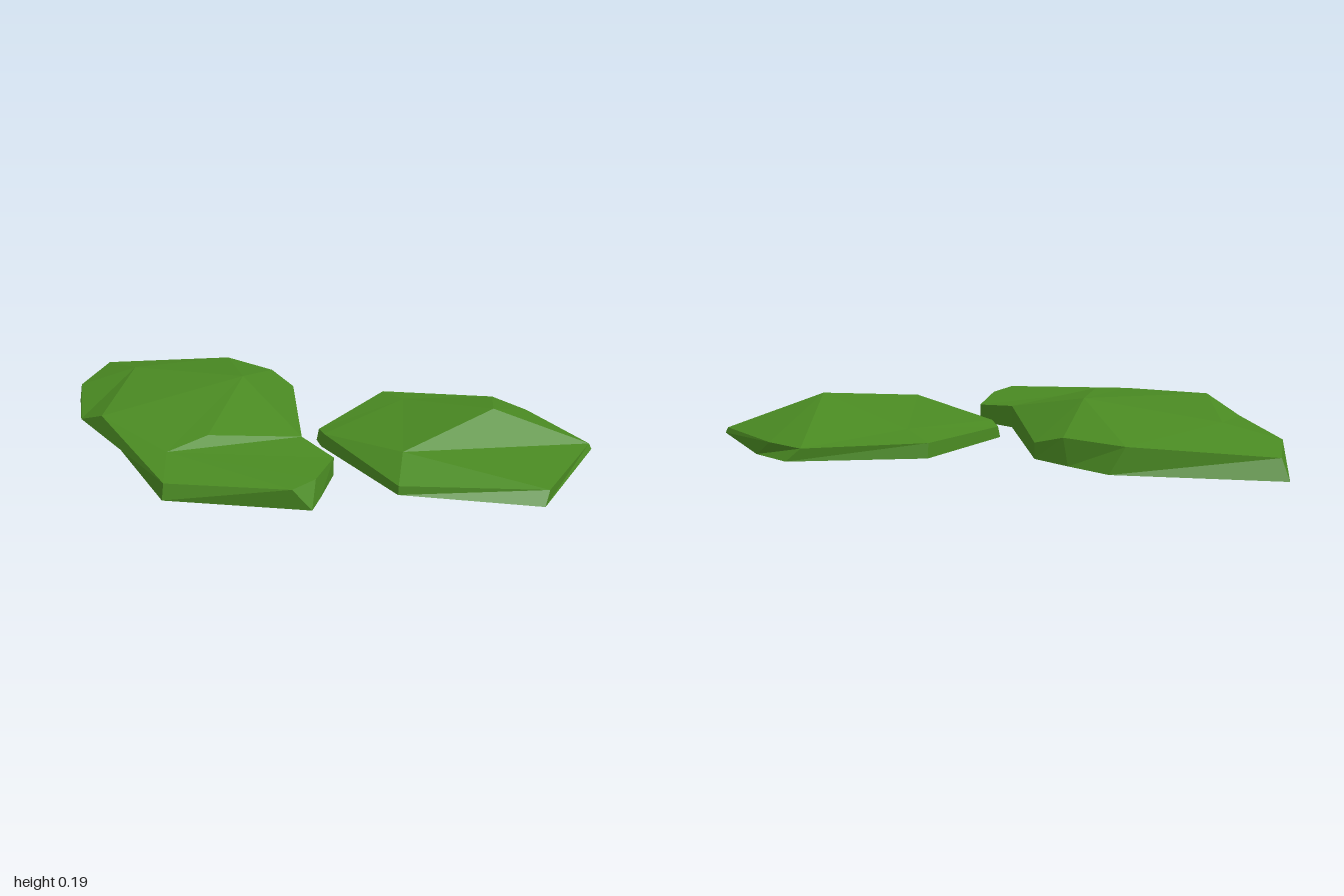
import * as THREE from 'three';

const green = new THREE.MeshStandardMaterial({ color: 0x4a8a22, flatShading: true });

// Faceted mound: a base loop, a rim loop above it (same order, same count),
// raised peaks inside the rim, and top facets indexing rim points then peaks.
function mound(name, base, rim, peaks, facets) {
  const n = rim.length;
  const points = [...rim, ...peaks, ...base];
  const b0 = n + peaks.length;
  const tris = facets.map(([a, b, c]) => [a, c, b]);

  // sloping side walls
  for (let i = 0; i < n; i++) {
    const j = (i + 1) % n;
    tris.push([i, j, b0 + j], [i, b0 + j, b0 + i]);
  }

  // underside, wound to face down
  const outline = base.map(([x, , z]) => new THREE.Vector2(x, z));
  for (const [a, b, c] of THREE.ShapeUtils.triangulateShape(outline, [])) {
    const ab = outline[b].clone().sub(outline[a]);
    const ac = outline[c].clone().sub(outline[a]);
    tris.push(ab.cross(ac) > 0 ? [b0 + a, b0 + b, b0 + c] : [b0 + a, b0 + c, b0 + b]);
  }

  const geometry = new THREE.BufferGeometry();
  const corners = tris.flat().flatMap((k) => points[k]);
  geometry.setAttribute('position', new THREE.Float32BufferAttribute(corners, 3));
  geometry.computeVertexNormals();
  const mesh = new THREE.Mesh(geometry, green);
  mesh.name = name;
  return mesh;
}

export function createModel() {
  const group = new THREE.Group();
  group.name = 'groundMounds';

  // large mound with a lower lobe at its front
  group.add(mound(
    'largeMound',
    [
      [-1, 0.015, -0.42], [-0.45, 0.03, -0.545], [-0.3, 0.03, -0.47], [-0.17, 0.03, -0.4],
      [0.05, 0.02, 0.1], [0.2, 0.015, 0.19], [0.22, 0.015, 0.38], [0.23, 0.02, 0.49],
      [-0.25, 0.03, 0.61], [-0.74, 0.02, 0.1], [-0.96, 0.02, -0.13],
    ],
    [
      [-0.97, 0.085, -0.4], [-0.5, 0.12, -0.53], [-0.28, 0.12, -0.455], [-0.17, 0.085, -0.4],
      [0.05, 0.1, 0.1], [0.2, 0.08, 0.19], [0.21, 0.09, 0.4], [0.17, 0.095, 0.515],
      [-0.25, 0.085, 0.595], [-0.77, 0.09, 0.2], [-0.95, 0.085, -0.13],
    ],
    [
      [-0.76, 0.15, -0.22], [-0.28, 0.195, -0.16], [-0.22, 0.145, 0.3],
      [-0.31, 0.125, 0.44], [-0.64, 0.15, 0.28],
    ],
    [
      [0, 1, 11], [1, 2, 12], [1, 12, 11], [2, 3, 12], [3, 4, 12],
      [12, 4, 13], [12, 13, 14], [12, 14, 15], [12, 15, 11], [4, 14, 13],
      [4, 5, 14], [5, 6, 14], [6, 7, 14], [7, 8, 14], [14, 8, 15],
      [8, 9, 15], [15, 9, 11], [9, 10, 11], [10, 0, 11],
    ],
  ));

  // smaller mound with a single peak
  group.add(mound(
    'smallMound',
    [
      [0.17, 0.03, -0.49], [0.62, 0.02, -0.62], [0.8, 0, -0.47], [1, 0.03, -0.31],
      [0.93, 0.01, 0.18], [0.46, 0.025, 0.29], [0.08, 0.02, -0.02], [0.045, 0.02, -0.07],
    ],
    [
      [0.17, 0.08, -0.48], [0.57, 0.065, -0.61], [0.72, 0.06, -0.53], [0.99, 0.05, -0.31],
      [0.935, 0.055, 0.14], [0.46, 0.055, 0.285], [0.09, 0.07, -0.02], [0.05, 0.06, -0.08],
    ],
    [[0.28, 0.1, -0.38], [0.66, 0.175, -0.21], [0.43, 0.115, 0.14]],
    [
      [0, 1, 8], [1, 9, 8], [1, 2, 9], [2, 3, 9], [9, 3, 10], [3, 4, 10],
      [4, 5, 10], [5, 6, 10], [10, 6, 8], [10, 8, 9], [6, 7, 8], [7, 0, 8],
    ],
  ));

  return group;
}
